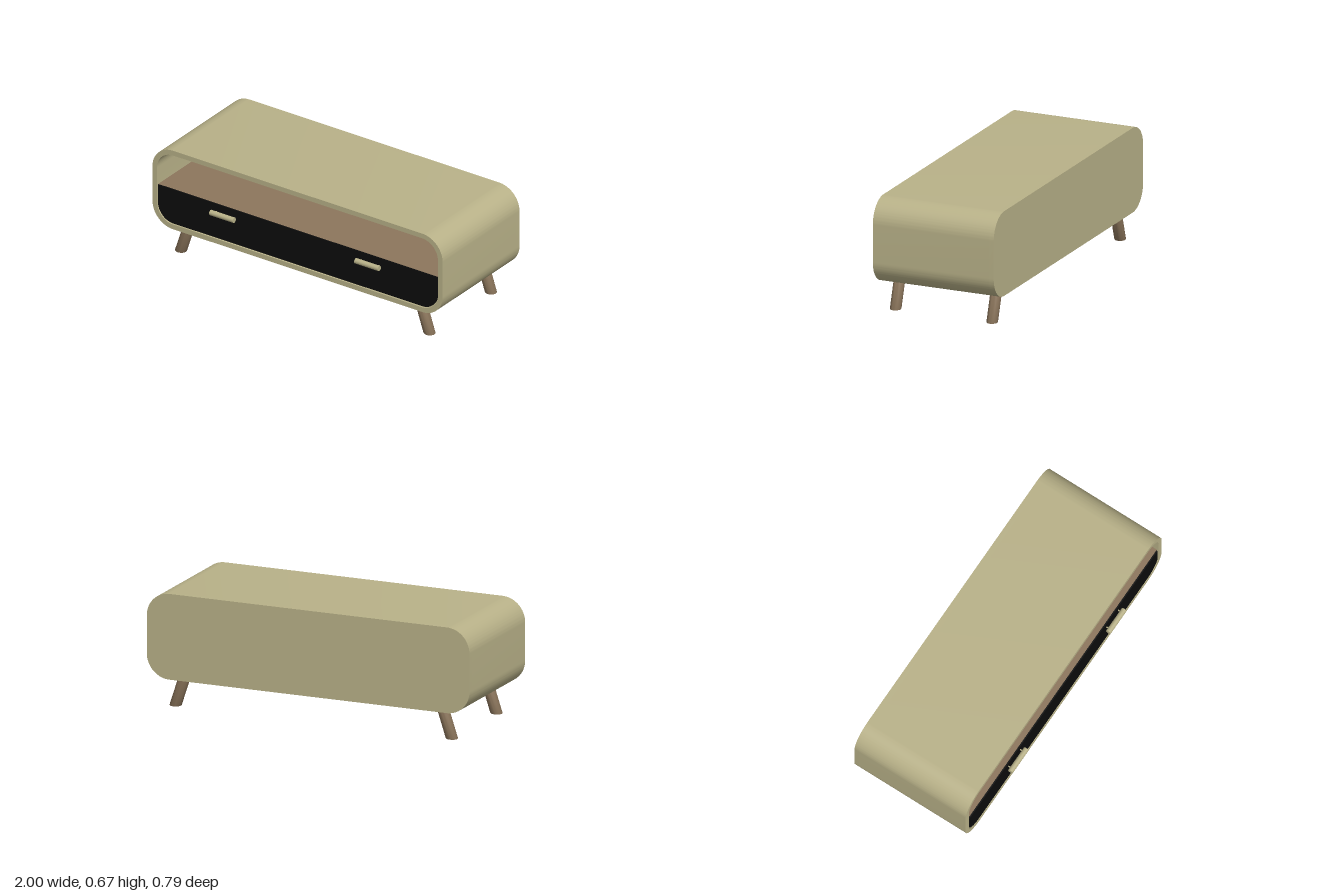
import * as THREE from 'three';
import { toCreasedNormals } from 'three/addons/utils/BufferGeometryUtils.js';

const mat = (name, color) => {
  const m = new THREE.MeshStandardMaterial({ color });
  m.name = name;
  return m;
};

// Rectangle with separate radii for the bottom and top corners
function roundedRect(target, hw, y0, y1, rb, rt = rb) {
  target.moveTo(-hw + rb, y0);
  target.lineTo(hw - rb, y0);
  target.absarc(hw - rb, y0 + rb, rb, -Math.PI / 2, 0);
  target.lineTo(hw, y1 - rt);
  if (rt > 0) target.absarc(hw - rt, y1 - rt, rt, 0, Math.PI / 2);
  target.lineTo(-hw + rt, y1);
  if (rt > 0) target.absarc(-hw + rt, y1 - rt, rt, Math.PI / 2, Math.PI);
  target.lineTo(-hw, y0 + rb);
  target.absarc(-hw + rb, y0 + rb, rb, Math.PI, Math.PI * 1.5);
  return target;
}

// Extrude a front outline between two depths, smooth around the corners
function slab(shape, z0, z1) {
  const g = new THREE.ExtrudeGeometry(shape, { depth: z1 - z0, bevelEnabled: false, curveSegments: 16 });
  g.translate(0, 0, z0);
  return toCreasedNormals(g, 0.5);
}

export function createModel() {
  const model = new THREE.Group();
  model.name = 'mediaConsole';
  const beige = mat('beige lacquer', 0xb8b188);
  const wood = mat('brown wood', 0x8c765c);
  const black = mat('black front', 0x0c0c0c);
  const add = (name, geometry, material, parent = model) => {
    const mesh = new THREE.Mesh(geometry, material);
    mesh.name = name;
    parent.add(mesh);
    return mesh;
  };

  // Cabinet: rounded tube closed by a back panel
  const outline = () => roundedRect(new THREE.Shape(), 1, 0.167, 0.667, 0.14);
  const ring = outline();
  ring.holes.push(roundedRect(new THREE.Path(), 0.968, 0.197, 0.637, 0.11));
  add('cabinetShell', slab(ring, -0.365, 0.355), beige);
  add('backPanel', slab(outline(), -0.395, -0.365), beige);

  // Shelf above the drawer
  add('shelf', new THREE.BoxGeometry(1.936, 0.02, 0.71), wood).position.set(0, 0.408, -0.01);

  // Drawer front, set just inside the opening
  add('drawerFront', slab(roundedRect(new THREE.Shape(), 0.963, 0.203, 0.418, 0.105, 0), 0.345, 0.353), black);

  // Bar handles on two small posts
  for (const side of [-1, 1]) {
    const handle = new THREE.Group();
    handle.name = side > 0 ? 'leftHandle' : 'rightHandle';
    handle.position.set(side * 0.5, 0.37, 0);
    const bar = add('handleBar', new THREE.CylinderGeometry(0.016, 0.016, 0.163, 24), beige, handle);
    bar.rotation.z = Math.PI / 2;
    bar.position.z = 0.38;
    for (const x of [-0.06, 0.06]) {
      const post = add('handlePost', new THREE.CylinderGeometry(0.004, 0.004, 0.03, 12), beige, handle);
      post.rotation.x = Math.PI / 2;
      post.position.set(x, 0.37 - 0.37, 0.365);
    }
    model.add(handle);
  }

  // Splayed legs: round posts sheared outward, with a softened foot
  const profile = [[0, 0], [0.028, 0], [0.031, 0.001], [0.0325, 0.005], [0.0325, 0.17], [0, 0.17]]
    .map(([x, y]) => new THREE.Vector2(x, y));
  for (const sx of [-1, 1]) {
    for (const z of [0.28, -0.319]) {
      const g = new THREE.LatheGeometry(profile, 24);
      const p = g.attributes.position;
      for (let i = 0; i < p.count; i++) {
        p.setX(i, p.getX(i) * 1.08 + sx * (0.857 - p.getY(i) * 0.33));
      }
      add((z > 0 ? 'front' : 'back') + (sx > 0 ? 'Left' : 'Right') + 'Leg', toCreasedNormals(g, 0.6), wood).position.z = z;
    }
  }
  return model;
}
